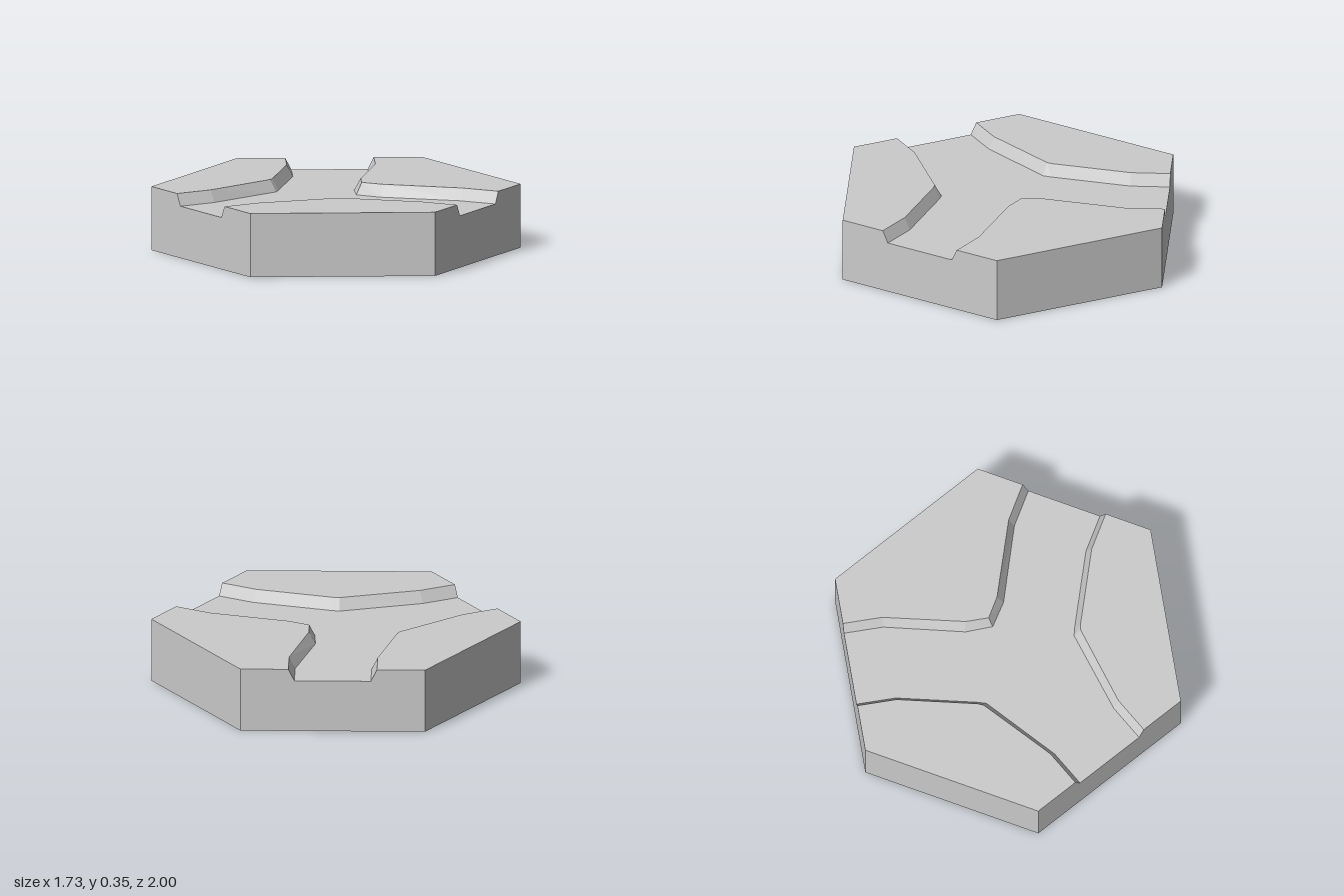
import * as THREE from 'three';

const APOTHEM = Math.sqrt(3) / 2, TOP = 0.35, FLOOR = 0.285;
const TOP_HALF = 0.24, FLOOR_HALF = 0.207, BEND = 0.65;
const UP = new THREE.Vector3(0, 1, 0), DOWN = new THREE.Vector3(0, -1, 0);

// Plan point [x, z]: distance t along a direction, shifted sideways by o
function at(deg, t, o = 0) {
  const a = THREE.MathUtils.degToRad(deg), c = Math.cos(a), s = Math.sin(a);
  return [t * c - o * s, t * s + o * c];
}
const lift = (pts, y) => pts.map(([x, z]) => new THREE.Vector3(x, y, z));

// Triangulate a loop of corners so that it faces the given direction
function face(out, loop, dir) {
  const flat = loop.map((p) => Math.abs(dir.y) > 0.5
    ? new THREE.Vector2(p.x, p.z)
    : new THREE.Vector2(p.x * dir.z - p.z * dir.x, p.y));
  for (const tri of THREE.ShapeUtils.triangulateShape(flat, [])) {
    const [a, b, c] = tri.map((i) => loop[i]);
    const n = b.clone().sub(a).cross(c.clone().sub(a));
    const order = n.dot(dir) < 0 ? [a, c, b] : [a, b, c];
    order.forEach((p) => out.push(p.x, p.y, p.z));
  }
}

export function createModel() {
  const group = new THREE.Group();
  const material = new THREE.MeshStandardMaterial({ color: 0xcccccc, flatShading: true });
  const addMesh = (name, positions) => {
    const geometry = new THREE.BufferGeometry();
    geometry.setAttribute('position', new THREE.Float32BufferAttribute(positions, 3));
    geometry.computeVertexNormals();
    const mesh = new THREE.Mesh(geometry, material);
    mesh.name = name;
    group.add(mesh);
  };

  // Hexagonal base: underside and six walls, every other one notched by a channel
  const base = [];
  face(base, lift([30, 90, 150, 210, 270, 330].map((d) => at(d, 1)), 0), DOWN);
  for (let deg = 0; deg < 360; deg += 60) {
    const ends = [at(deg - 30, 1), at(deg + 30, 1)];
    const notch = deg % 120 === 60 ? [
      ...lift([at(deg, APOTHEM, TOP_HALF)], TOP),
      ...lift([at(deg, APOTHEM, FLOOR_HALF), at(deg, APOTHEM, -FLOOR_HALF)], FLOOR),
      ...lift([at(deg, APOTHEM, -TOP_HALF)], TOP),
    ] : [];
    const [nx, nz] = at(deg, 1);
    face(base, [...lift(ends, 0), ...lift([ends[1]], TOP), ...notch, ...lift([ends[0]], TOP)],
      new THREE.Vector3(nx, 0, nz));
  }
  addMesh('hexBase', base);

  // Inner corners of the three banks; the two left ones mirror each other
  const mirror = (pts) => pts.map(([x, z]) => [x, -z]).reverse();
  const frontTop = [[-0.18, 0.36], [-0.207, 0.34]];
  const frontFloor = [[-0.153, 0.342], [-0.19, 0.307]];
  const banks = [
    { name: 'frontRight', from: 60, top: frontTop, floor: frontFloor },
    { name: 'backRight', from: 180, top: mirror(frontTop), floor: mirror(frontFloor) },
    { name: 'left', from: 300, top: [[0.228, -0.11], [0.165, 0], [0.228, 0.11]],
      floor: [[0.2, -0.133], [0.13, 0], [0.2, 0.133]] },
  ];
  const bankLine = (from, inner, w) => [
    at(from, APOTHEM, w), at(from, BEND, w), ...inner,
    at(from + 120, BEND, -w), at(from + 120, APOTHEM, -w),
  ];

  const channel = [];
  for (const { name, from, top, floor } of banks) {
    const upper = bankLine(from, top, TOP_HALF);
    const lower = bankLine(from, floor, FLOOR_HALF);
    channel.push(...lower);

    // Raised plateau reaching out to two corners of the hexagon
    const plateau = [];
    face(plateau, lift([...upper, at(from + 90, 1), at(from + 30, 1)], TOP), UP);
    addMesh(name + 'Plateau', plateau);

    // Sloped bank down to the channel
    const slope = [], u = lift(upper, TOP), l = lift(lower, FLOOR);
    for (let i = 0; i < u.length - 1; i++) face(slope, [u[i], u[i + 1], l[i + 1], l[i]], UP);
    addMesh(name + 'Bank', slope);
  }

  // Sunken three-way channel floor
  const bed = [];
  face(bed, lift(channel, FLOOR), UP);
  addMesh('channelFloor', bed);

  return group;
}
